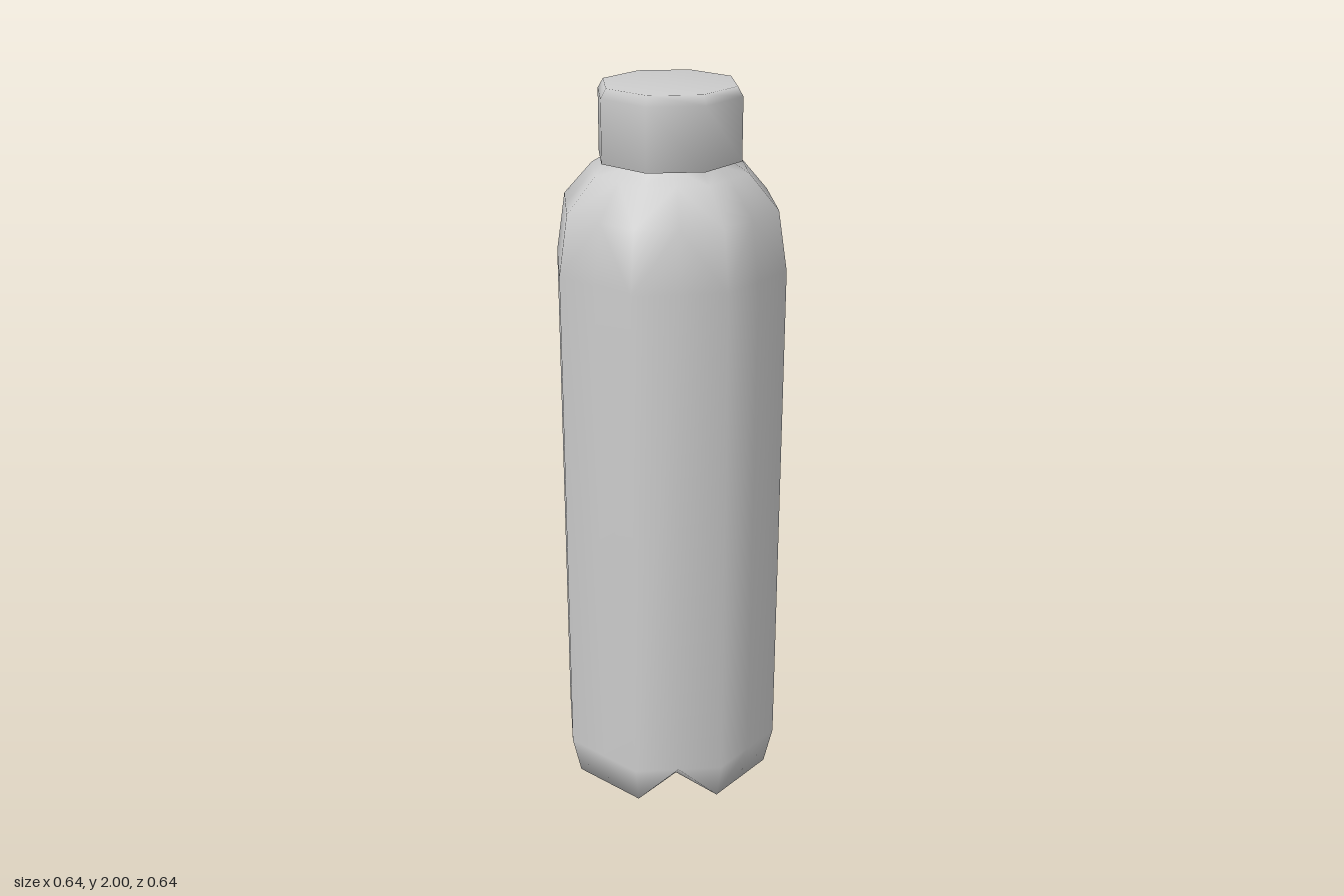
import * as THREE from 'three';

const STEPS = 16; // eight corners plus the middle of each flat side
const MID = Math.cos(Math.PI / 8);

// Octagonal ring: even steps are corners, odd steps lie on the flat sides
function ring(r, y) {
  return Array.from({ length: STEPS }, (_, i) => {
    const a = (i / STEPS) * Math.PI * 2;
    const rr = i % 2 ? r * MID : r;
    return [rr * Math.sin(a), y, rr * Math.cos(a)];
  });
}

// Foot ring: every second flat side is pinched up and inwards into a notch
function footRing() {
  return ring(0.295, 0).map(([x, y, z], i) => {
    if (i % 4 !== 3) return [x, y, z];
    const k = 0.217 / (0.295 * MID);
    return [x * k, 0.045, z * k];
  });
}

// Joins the rings from bottom to top, with a fan closing the underside
function bodyGeometry() {
  const rings = [
    footRing(),
    ring(0.32, 0.11),
    ring(0.32, 1.53),
    ring(0.295, 1.69),
    ring(0.215, 1.78),
    ring(0.165, 1.81),
    ring(0.155, 1.86),
  ];
  const points = [...rings.flat(), [0, 0.018, 0]];
  const centre = points.length - 1;
  const index = [];
  for (let i = 0; i < STEPS; i++) {
    const n = (i + 1) % STEPS;
    index.push(centre, n, i);
    for (let j = 0; j < rings.length - 1; j++) {
      const la = j * STEPS + i, lb = j * STEPS + n;
      const ua = la + STEPS, ub = lb + STEPS;
      // diagonals run from the corners below to the side middles above
      if (i % 2 === 0) index.push(la, lb, ub, la, ub, ua);
      else index.push(la, lb, ua, lb, ub, ua);
    }
  }
  const g = new THREE.BufferGeometry();
  g.setAttribute('position', new THREE.Float32BufferAttribute(points.flat(), 3));
  g.setIndex(index);
  g.computeVertexNormals();
  return g;
}

export function createModel() {
  const model = new THREE.Group();
  model.name = 'bottle';
  const material = new THREE.MeshStandardMaterial({ color: 0xcccccc, side: THREE.DoubleSide });

  // Bottle body with shoulder, neck and notched feet
  const body = new THREE.Mesh(bodyGeometry(), material);
  body.name = 'body';
  model.add(body);

  // Screw cap with a small bevel at the top
  const profile = [[0.15, 1.815], [0.195, 1.81], [0.195, 1.975], [0.18, 2], [0, 2]]
    .map(([x, y]) => new THREE.Vector2(x, y));
  const cap = new THREE.Mesh(new THREE.LatheGeometry(profile, 8), material);
  cap.name = 'cap';
  model.add(cap);

  return model;
}
